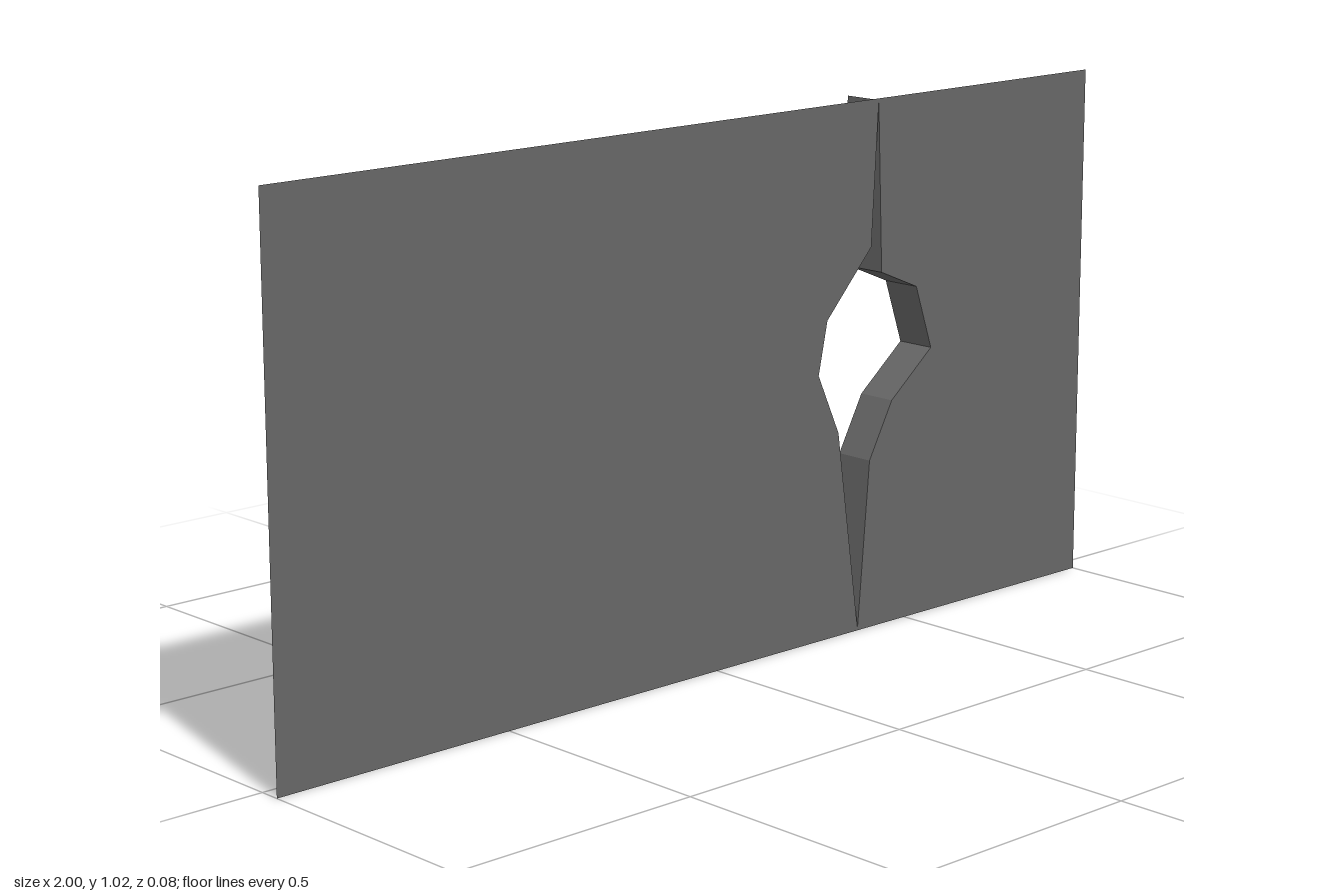
import * as THREE from 'three';

const HEIGHT = 1.02, FRONT = 0.04, BACK = -0.04;

// Outline of the jagged crack, from the top tip down the right-hand edge (x = -) and back up
const CRACK = [
  [0.412, 1.017], [0.396, 0.742], [0.281, 0.618], [0.259, 0.516], [0.313, 0.398], [0.37, 0.003],
  [0.398, 0.33], [0.457, 0.438], [0.564, 0.525], [0.521, 0.65], [0.425, 0.69],
];

// Flat quads joining the crack outline at the sheet to the same outline at the back
function crackWalls() {
  const pos = [];
  CRACK.forEach(([x0, y0], i) => {
    const [x1, y1] = CRACK[(i + 1) % CRACK.length];
    pos.push(x0, y0, FRONT, x0, y0, BACK, x1, y1, BACK);
    pos.push(x0, y0, FRONT, x1, y1, BACK, x1, y1, FRONT);
  });
  const geometry = new THREE.BufferGeometry();
  geometry.setAttribute('position', new THREE.Float32BufferAttribute(pos, 3));
  geometry.computeVertexNormals();
  return geometry;
}

export function createModel() {
  const group = new THREE.Group();
  group.name = 'brokenWall';
  const stone = new THREE.MeshStandardMaterial({ color: 0x666666, side: THREE.DoubleSide });
  stone.name = 'darkGrey';

  // Thin sheet with the crack cut out
  const outline = new THREE.Shape([[-1, 0], [1, 0], [1, HEIGHT], [-1, HEIGHT]].map(p => new THREE.Vector2(...p)));
  outline.holes.push(new THREE.Path(CRACK.map(p => new THREE.Vector2(...p))));
  const sheet = new THREE.Mesh(new THREE.ShapeGeometry(outline), stone);
  sheet.name = 'wallSheet';
  sheet.position.z = FRONT;

  // Sides of the crack, reaching back from the sheet
  const walls = new THREE.Mesh(crackWalls(), stone);
  walls.name = 'crackSides';

  group.add(sheet, walls);
  return group;
}
